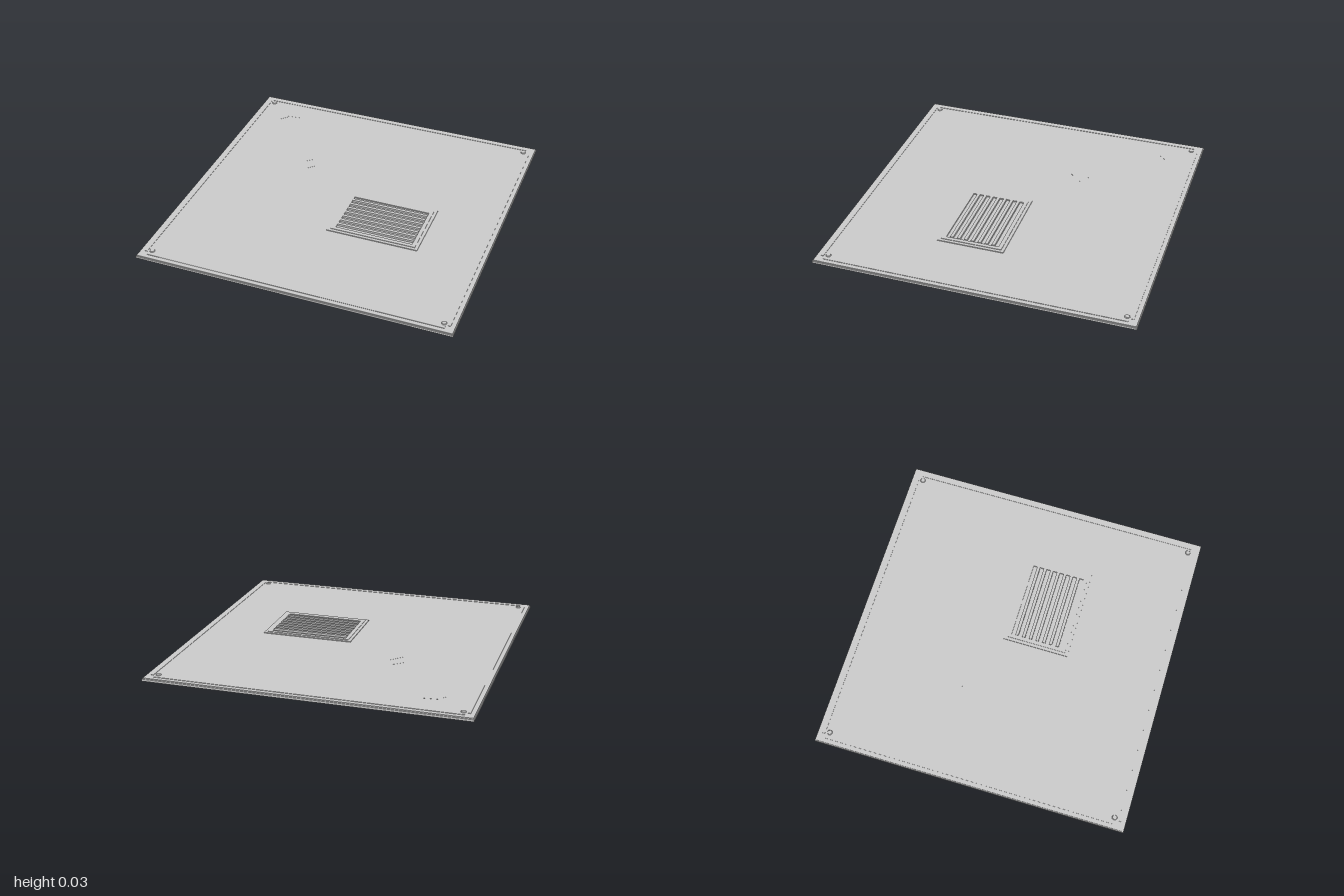
import * as THREE from 'three';

export function createModel() {
  const model = new THREE.Group();
  const material = new THREE.MeshStandardMaterial({ color: 0xcccccc, flatShading: true });

  const add = (name, geometry, x, y, z) => {
    const mesh = new THREE.Mesh(geometry, material);
    mesh.name = name;
    mesh.position.set(x, y, z);
    model.add(mesh);
    return mesh;
  };
  // Box given by its centre in plan, its bottom and its top
  const slab = (name, x, z, w, d, bottom, top) =>
    add(name, new THREE.BoxGeometry(w, top - bottom, d), x, (bottom + top) / 2, z);

  // Floor panel: a base plate and a slightly inset deck
  slab('basePlate', 0, 0, 2, 2, 0, 0.013);
  slab('deck', 0, 0, 1.99, 1.99, 0.013, 0.02);

  // Thin trim strips along the four edges, and a bolt in each corner
  for (const s of [-1, 1]) {
    slab('edgeTrim', 0, s * 0.96, 1.88, 0.016, 0.019, 0.0225);
    slab('edgeTrim', s * 0.96, 0, 0.016, 1.88, 0.019, 0.0225);
    for (const t of [-1, 1]) {
      add('cornerBolt', new THREE.CylinderGeometry(0.014, 0.018, 0.006, 8), s * 0.925, 0.022, t * 0.925);
    }
  }

  // Vent frame: a stepped rim around an opening
  const vent = { x: 0.285, z: 0.145 };
  const frame = (name, w, d, innerW, innerD, bottom, top) => {
    const rect = (shape, a, b) => shape
      .moveTo(-a / 2, -b / 2).lineTo(a / 2, -b / 2)
      .lineTo(a / 2, b / 2).lineTo(-a / 2, b / 2).closePath();
    const shape = rect(new THREE.Shape(), w, d);
    shape.holes.push(rect(new THREE.Path(), innerW, innerD));
    const geometry = new THREE.ExtrudeGeometry(shape, { depth: top - bottom, bevelEnabled: false });
    geometry.rotateX(-Math.PI / 2);
    add(name, geometry, vent.x, bottom, vent.z);
  };
  frame('ventFlange', 0.59, 0.43, 0.5, 0.34, 0.019, 0.025);
  frame('ventRim', 0.55, 0.39, 0.5, 0.34, 0.025, 0.028);

  // Vent slats
  for (let i = 0; i < 7; i++) {
    slab('ventSlat', vent.x, vent.z + (i - 3) * 0.045, 0.5, 0.02, 0.019, 0.033);
  }

  // Faint raised scuffs on the deck
  for (const [x, z, length, angle] of [
    [-0.71, -0.8, 0.1, 0.1], [-0.78, -0.76, 0.06, 0.8],
    [-0.36, -0.26, 0.1, 0.8], [-0.4, -0.33, 0.08, 0.7],
  ]) {
    slab('scuff', x, z, length, 0.006, 0.019, 0.0207).rotation.y = angle;
  }

  return model;
}
